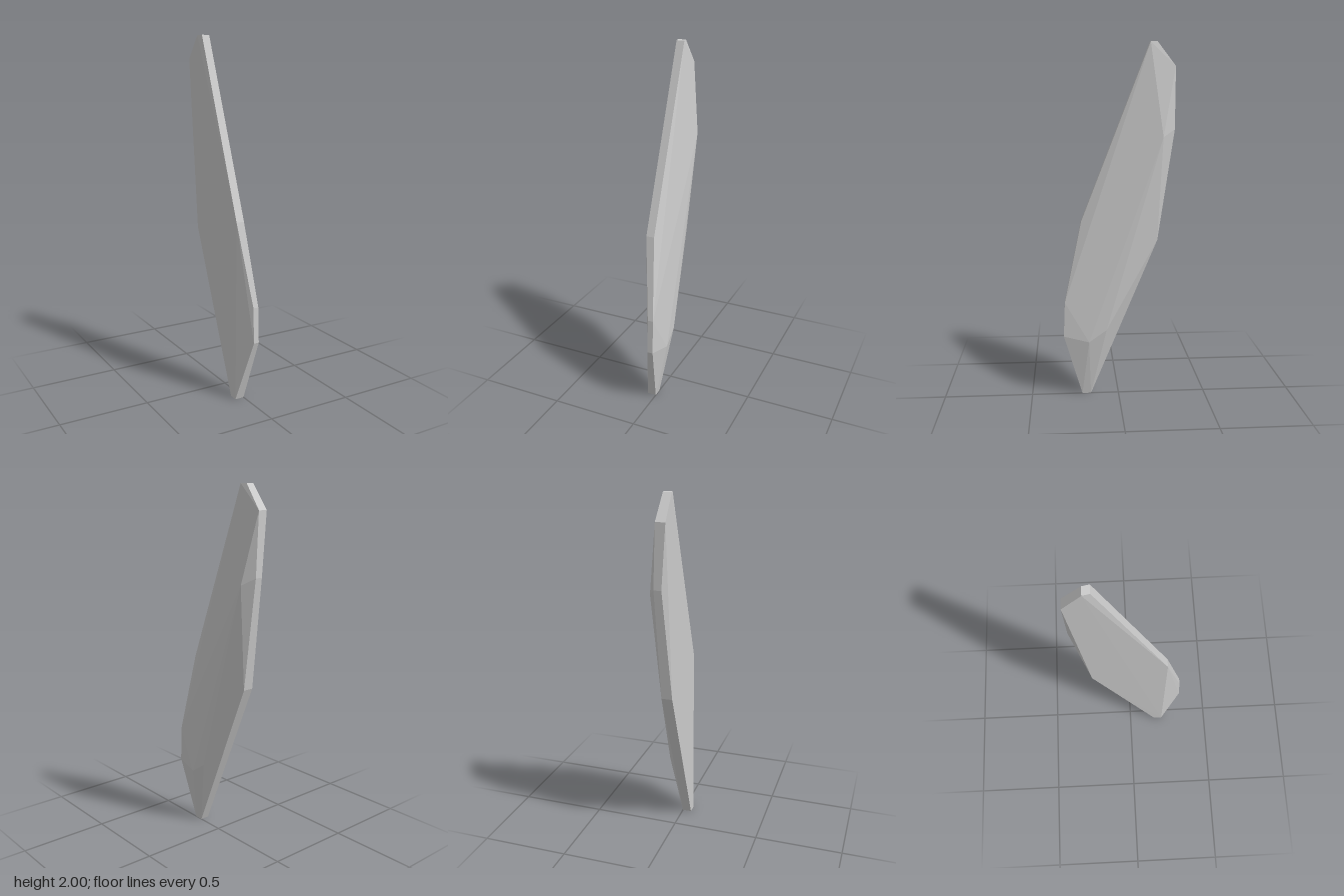
import * as THREE from 'three';
import { ConvexGeometry } from 'three/addons/geometries/ConvexGeometry.js';

// Faceted stone shard: a thin convex slab with a bevelled rim
export function createModel() {
  const group = new THREE.Group();
  group.name = 'stoneShard';

  // Rim outline: [y, z, x of the flat side, x of the bevelled side]
  const rim = [
    [2.0, -0.175, -0.045, 0],
    [2.0, -0.213, -0.053, -0.007],
    [1.87, -0.313, -0.054, 0],
    [1.53, -0.31, -0.03, 0.012],
    [0.91, -0.22, -0.056, 0.005],
    [0, 0.16, -0.052, 0],
    [0, 0.21, -0.052, 0],
    [0.36, 0.313, 0.002, 0.033],
    [0.56, 0.305, 0.002, 0.033],
    [1.02, 0.208, -0.048, -0.002],
  ];
  const points = rim.flatMap(([y, z, x0, x1]) => [
    new THREE.Vector3(x0, y, z),
    new THREE.Vector3(x1, y, z),
  ]);

  // Raised ridge on the bevelled side
  points.push(
    new THREE.Vector3(0.055, 1.49, -0.243),
    new THREE.Vector3(0.055, 0.33, 0.17),
    new THREE.Vector3(0.053, 0.40, 0.07),
  );

  const shard = new THREE.Mesh(
    new ConvexGeometry(points),
    new THREE.MeshStandardMaterial({ color: 0xcccccc, flatShading: true }),
  );
  shard.name = 'shard';
  group.add(shard);
  return group;
}
